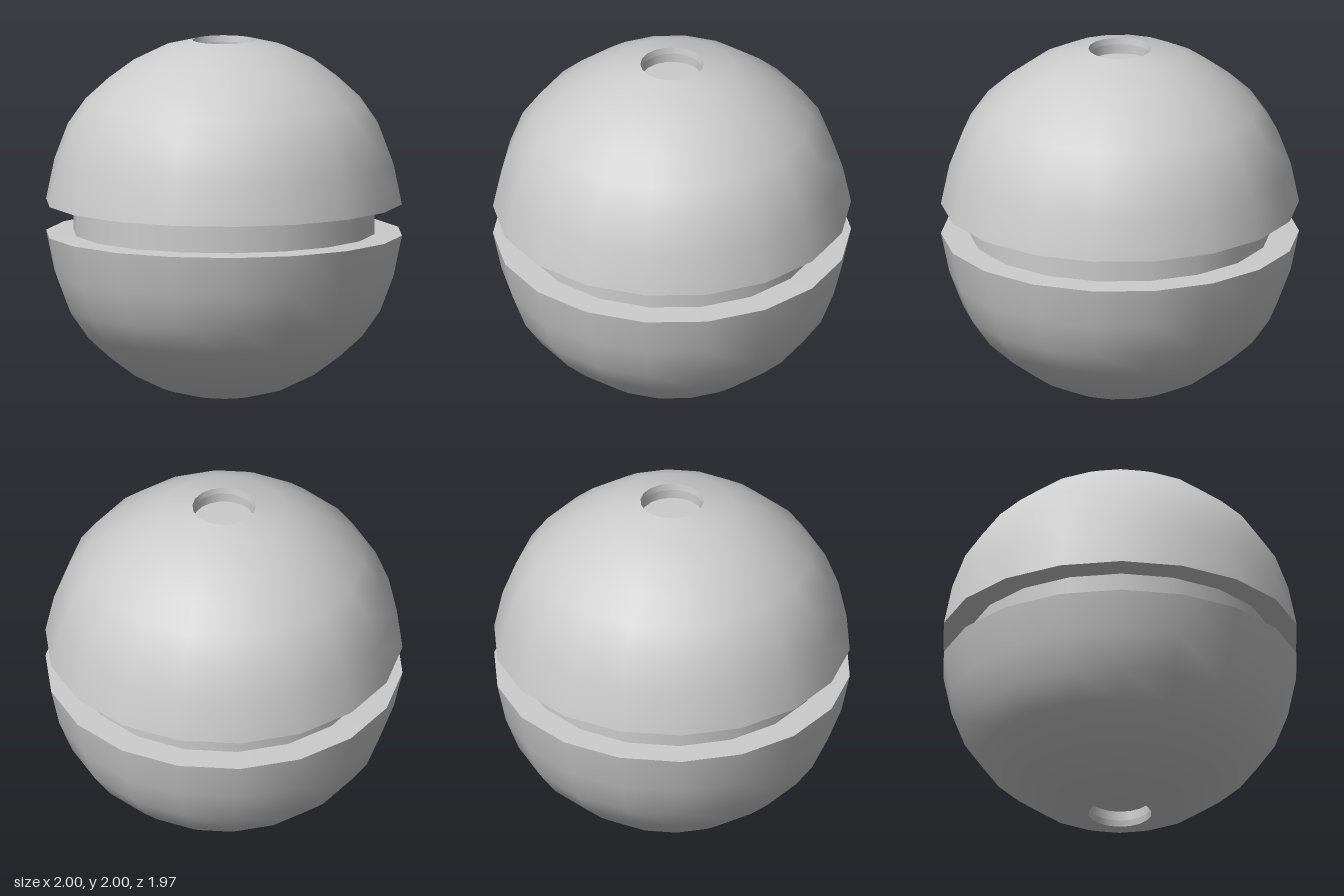
import * as THREE from 'three';

const SIDES = 18;

// Half profile strips [radius, y] above the equator; each strip is smooth, creases lie between strips
const STRIPS = {
  dome: [[1, 1.088], [0.953, 1.315], [0.878, 1.514], [0.778, 1.657], [0.648, 1.776], [0.508, 1.88], [0.35, 1.957], [0.177, 2]],
  grooveLedge: [[0.845, 1.083], [1, 1.088]],
  holeRim: [[0.177, 2], [0.171, 1.964]],
  holeWall: [[0.171, 1.964], [0.171, 1.91]],
  holeFloor: [[0.171, 1.91], [0, 1.91]],
};

export function createModel() {
  const model = new THREE.Group();
  model.name = 'groovedBall';
  const material = new THREE.MeshStandardMaterial({ color: 0xcccccc });

  // Turn a strip around the vertical axis, with corners on the x axis
  const turn = (name, points, parent) => {
    const profile = points.map(([r, y]) => new THREE.Vector2(r, y));
    const mesh = new THREE.Mesh(new THREE.LatheGeometry(profile, SIDES, Math.PI / 2), material);
    mesh.name = name;
    parent.add(mesh);
  };

  // Upper half and its mirror image below
  for (const half of ['upper', 'lower']) {
    const group = new THREE.Group();
    group.name = half + 'Half';
    for (const [name, points] of Object.entries(STRIPS)) {
      const strip = half === 'upper' ? points : points.map(([r, y]) => [r, 2 - y]).reverse();
      turn(name, strip, group);
    }
    model.add(group);
  }

  // Recessed core between the halves
  turn('grooveCore', [[0.845, 0.917], [0.845, 1.083]], model);

  return model;
}
